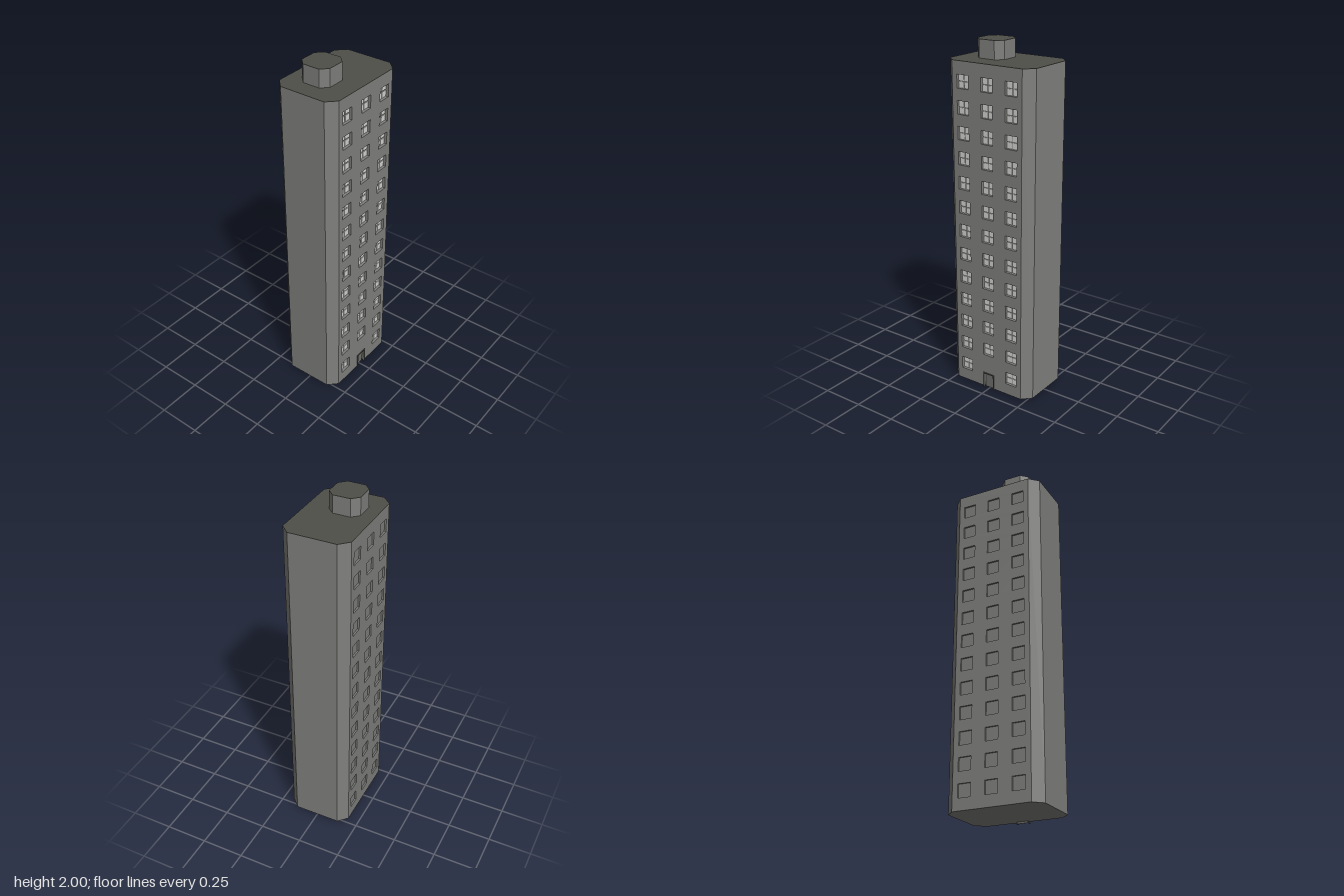
import * as THREE from 'three';

const material = (name, color) => Object.assign(new THREE.MeshStandardMaterial({ color }), { name });

// Vertical prism from plan points [x, z]
function prism(points, y0, y1) {
  const shape = new THREE.Shape(points.map(([x, z]) => new THREE.Vector2(x, -z)));
  const geo = new THREE.ExtrudeGeometry(shape, { depth: y1 - y0, bevelEnabled: false });
  return geo.rotateX(-Math.PI / 2).translate(0, y0, 0);
}

// Rectangle with cut corners, as plan points
function octagon(x0, x1, z0, z1, c) {
  return [
    [x0 + c, z0], [x1 - c, z0], [x1, z0 + c], [x1, z1 - c],
    [x1 - c, z1], [x0 + c, z1], [x0, z1 - c], [x0, z0 + c],
  ];
}

export function createModel() {
  const model = new THREE.Group();
  model.name = 'towerBlock';
  const wall = material('wallGrey', 0x80807e);
  const roof = material('roofDark', 0x4f4f49);
  const glass = material('paneLight', 0xd4d4d2);
  const doorMat = material('doorGrey', 0x6e6e6b);

  const add = (name, geo, mat, parent = model) => {
    const mesh = new THREE.Mesh(geo, mat);
    mesh.name = name;
    parent.add(mesh);
    return mesh;
  };
  const box = (name, w, h, d, x, y, z, mat, parent) =>
    add(name, new THREE.BoxGeometry(w, h, d).translate(x, y, z), mat, parent);

  const X = 0.275, F = 0.184, B = -0.188, C = 0.051;
  const base = 0.01, top = 1.9, cap = 0.002;
  const frontDepth = 0.02, backDepth = 0.01;
  const e = X - C;

  // Core, set back where the pierced facades sit
  add('core', prism([
    [-e, B], [-e, B + backDepth], [e, B + backDepth], [e, B], [X, B + C], [X, F - C],
    [e, F], [e, F - frontDepth], [-e, F - frontDepth], [-e, F], [-X, F - C], [-X, B + C],
  ], base, top - cap), wall);
  add('roof', prism(octagon(-X, X, B, F, C), top - cap, top), roof);

  // Window grid
  const size = 0.074, columns = [-0.156, 0, 0.156], rows = 13;
  const rowY = (r) => 0.114 + r * 0.1397;
  const doorHalf = 0.032, doorTop = 0.094;

  // Facade panel with window openings, and a doorway on the front
  function facade(name, depth, z, hasDoor) {
    const outline = [[-e, base]];
    if (hasDoor) {
      outline.push([-doorHalf, base], [-doorHalf, doorTop], [doorHalf, doorTop], [doorHalf, base]);
    }
    outline.push([e, base], [e, top - cap], [-e, top - cap]);
    const shape = new THREE.Shape(outline.map(([x, y]) => new THREE.Vector2(x, y)));
    for (let r = 0; r < rows; r++) {
      for (const x of columns) {
        if (hasDoor && r === 0 && x === 0) continue;
        const h = size / 2, y = rowY(r);
        shape.holes.push(new THREE.Path([
          new THREE.Vector2(x - h, y - h), new THREE.Vector2(x - h, y + h),
          new THREE.Vector2(x + h, y + h), new THREE.Vector2(x + h, y - h),
        ]));
      }
    }
    const geo = new THREE.ExtrudeGeometry(shape, { depth, bevelEnabled: false });
    add(name, geo.translate(0, 0, z), wall);
  }
  facade('frontFacade', frontDepth, F - frontDepth, true);
  facade('backFacade', backDepth, B, false);

  // Four panes in each front window
  const windows = new THREE.Group();
  windows.name = 'frontWindows';
  model.add(windows);
  const pane = 0.034, offset = 0.02;
  for (let r = 0; r < rows; r++) {
    for (const x of columns) {
      if (r === 0 && x === 0) continue;
      for (const sx of [-1, 1]) {
        for (const sy of [-1, 1]) {
          box('windowPane', pane, pane, 0.004,
            x + sx * offset, rowY(r) + sy * offset, F - frontDepth + 0.002, glass, windows);
        }
      }
    }
  }

  // Recessed door with a slim projecting frame
  const entrance = new THREE.Group();
  entrance.name = 'entrance';
  model.add(entrance);
  box('door', doorHalf * 2, doorTop, 0.004, 0, doorTop / 2, F - frontDepth + 0.002, doorMat, entrance);
  const fw = 0.006, fz = F - 0.003, fd = 0.014;
  for (const s of [-1, 1]) {
    box('doorJamb', fw, doorTop + fw, fd, s * (doorHalf + fw / 2), (doorTop + fw) / 2, fz, roof, entrance);
  }
  box('doorLintel', doorHalf * 2, fw, fd, 0, doorTop + fw / 2, fz, roof, entrance);

  // Rooftop plant room
  const room = octagon(-0.175, 0, -0.113, 0.062, 0.038);
  add('plantRoom', prism(room, top, 2 - cap), wall);
  add('plantRoomRoof', prism(room, 2 - cap, 2), roof);

  return model;
}
